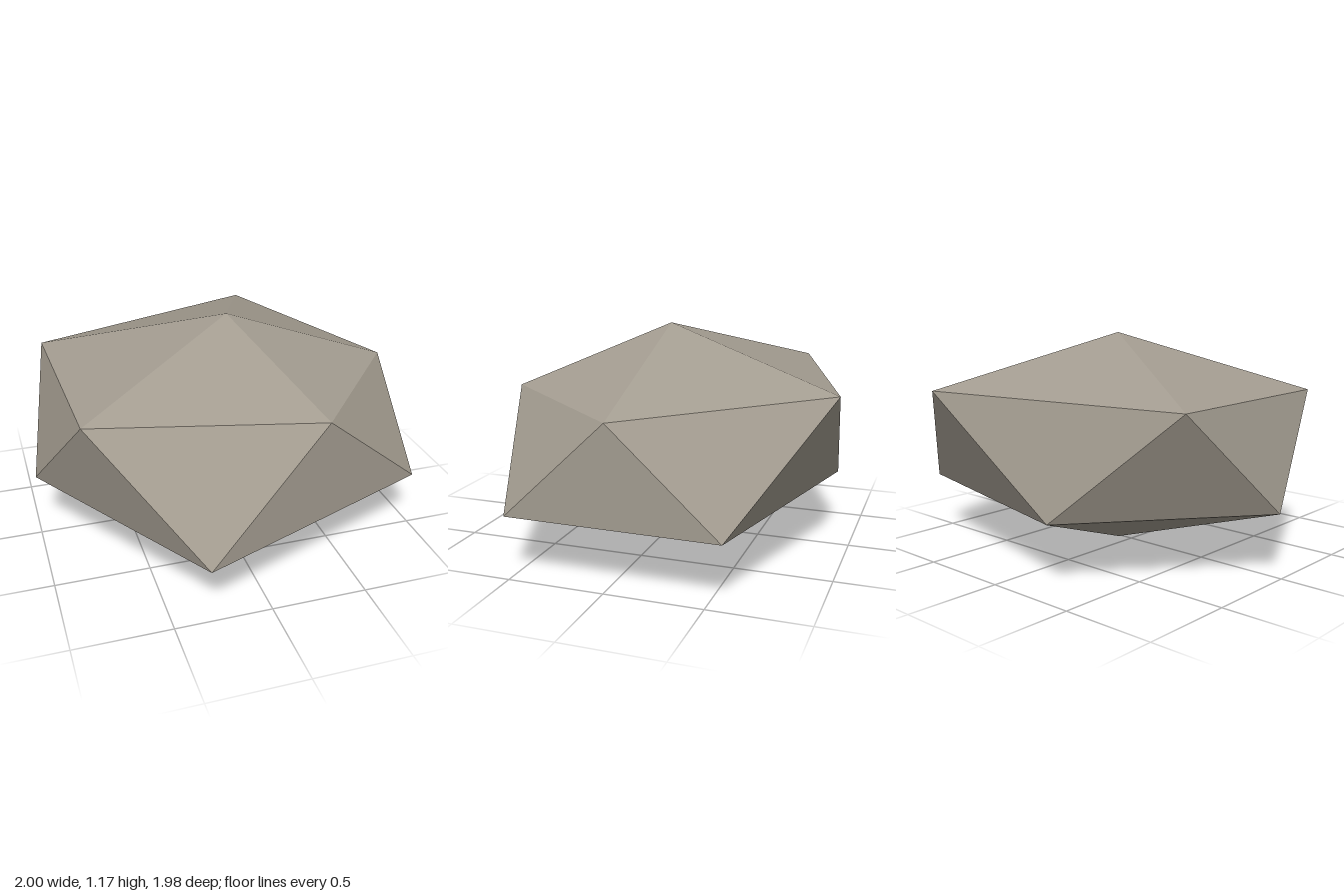
import * as THREE from 'three';

// Faceted boulder: two poles and two staggered rings of five corners
const top = [0.08, 1.17, -0.02];
const bottom = [0.08, 0, -0.02];
const upper = [
  [-0.81, 0.88, 0.51], [0.38, 0.84, 0.73], [1.0, 0.83, -0.02],
  [0.46, 0.91, -0.99], [-0.85, 0.89, -0.59],
];
// lower[i] sits between upper[i] and upper[i + 1]
const lower = [
  [-0.31, 0.28, 0.99], [0.99, 0.32, 0.52], [1.0, 0.32, -0.58],
  [-0.26, 0.33, -0.89], [-1.0, 0.34, -0.03],
];

function rockGeometry() {
  const positions = [];
  const face = (...corners) => corners.forEach((c) => positions.push(...c));
  for (let i = 0; i < 5; i++) {
    const j = (i + 1) % 5;
    face(top, upper[i], upper[j]);       // crown
    face(upper[i], lower[i], upper[j]);  // belt, pointing down
    face(lower[i], lower[j], upper[j]);  // belt, pointing up
    face(bottom, lower[j], lower[i]);    // underside
  }
  const geometry = new THREE.BufferGeometry();
  geometry.setAttribute('position', new THREE.Float32BufferAttribute(positions, 3));
  geometry.computeVertexNormals();
  return geometry;
}

export function createModel() {
  const stone = new THREE.MeshStandardMaterial({ color: 0xa39c90, flatShading: true });
  stone.name = 'warm grey stone';
  const rock = new THREE.Mesh(rockGeometry(), stone);
  rock.name = 'rock';
  const group = new THREE.Group();
  group.name = 'boulder';
  group.add(rock);
  return group;
}
